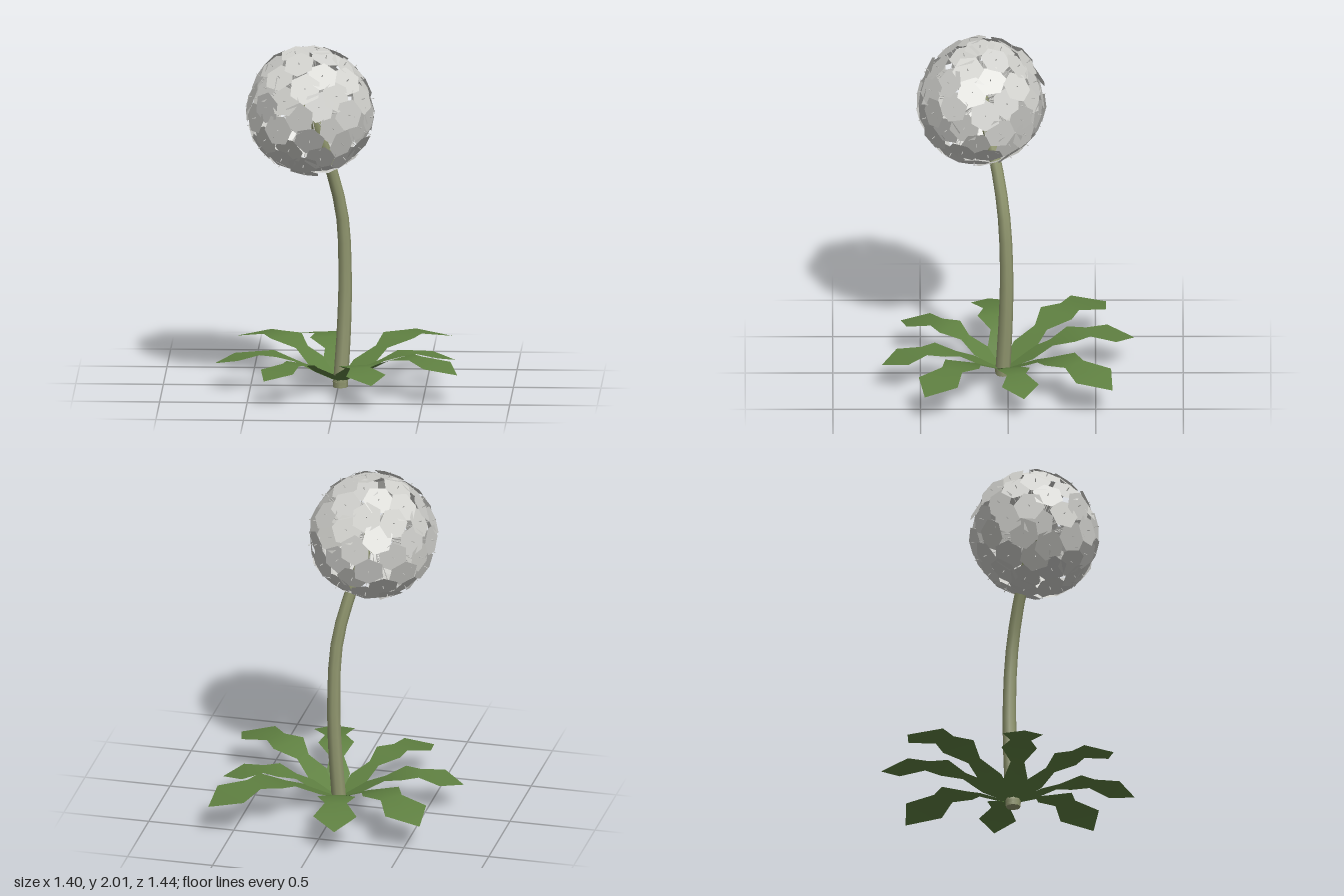
import * as THREE from 'three';

const leafGreen = new THREE.MeshStandardMaterial({ name: 'leafGreen', color: 0x5f8041, side: THREE.DoubleSide });
const stemGreen = new THREE.MeshStandardMaterial({ name: 'stemGreen', color: 0x929870 });
const fluffWhite = new THREE.MeshStandardMaterial({ name: 'fluffWhite', color: 0xcfcfcb, side: THREE.DoubleSide });

const ROOT = new THREE.Vector3(0.013, 0.028, 0.03);
const HEAD = new THREE.Vector3(-0.153, 1.635, 0.155);

function seeded(seed) {
  return () => (seed = (seed * 16807) % 2147483647) / 2147483647;
}

// Unit-length toothed leaf along +z, from cross-sections of [distance, half width, height]
function leafGeometry() {
  const sections = [
    [0, 0.02, 0], [0.21, 0.097, 0.107], [0.37, 0.055, 0.185], [0.52, 0.142, 0.24],
    [0.65, 0.083, 0.245], [0.83, 0.162, 0.217], [1, 0.002, 0.168],
  ];
  const pos = [], index = [];
  sections.forEach(([z, w, y], i) => {
    pos.push(-w, y, z, 0, y, z, w, y, z);
    if (i === 0) return;
    for (let k = 0; k < 2; k++) {
      const a = (i - 1) * 3 + k, c = i * 3 + k;
      index.push(a, c, a + 1, a + 1, c, c + 1);
    }
  });
  const g = new THREE.BufferGeometry();
  g.setAttribute('position', new THREE.Float32BufferAttribute(pos, 3));
  g.setIndex(index);
  g.computeVertexNormals();
  return g;
}

// Bent stem that thins towards the head
function stemGeometry() {
  const curve = new THREE.CatmullRomCurve3([
    new THREE.Vector3(0.013, 0.01, 0.03), new THREE.Vector3(0.033, 0.35, 0.013),
    new THREE.Vector3(0.039, 0.65, 0.008), new THREE.Vector3(0.023, 1.0, 0.024),
    new THREE.Vector3(-0.045, 1.3, 0.07), HEAD,
  ]);
  const rings = 12, sides = 8;
  const g = new THREE.TubeGeometry(curve, rings, 1, sides);
  const p = g.attributes.position, v = new THREE.Vector3();
  for (let i = 0; i < p.count; i++) {
    const t = Math.floor(i / (sides + 1)) / rings;
    const c = curve.getPointAt(t);
    v.fromBufferAttribute(p, i).sub(c).multiplyScalar(0.043 - 0.012 * t).add(c);
    p.setXYZ(i, v.x, v.y, v.z);
  }
  return g;
}

export function createModel() {
  const model = new THREE.Group();
  model.name = 'seedHeadFlower';
  const add = (parent, name, geometry, material) => {
    const m = new THREE.Mesh(geometry, material);
    m.name = name;
    parent.add(m);
    return m;
  };

  // Stem and root collar
  add(model, 'stem', stemGeometry(), stemGreen);
  add(model, 'rootCollar', new THREE.CylinderGeometry(0.044, 0.042, 0.034, 8), stemGreen)
    .position.set(ROOT.x, 0.017, ROOT.z);

  // Leaf rosette, placed by the tip of each leaf
  const leafGeo = leafGeometry();
  const tips = [
    [0.625, -0.595], [-0.145, -0.72], [-0.607, -0.56], [-0.7, 0.11],
    [-0.4, 0.61], [0.218, 0.72], [0.697, 0.475], [0.664, -0.09],
  ];
  tips.forEach(([x, z]) => {
    const dx = x - ROOT.x, dz = z - ROOT.z;
    const leaf = add(model, 'leaf', leafGeo, leafGreen);
    leaf.position.copy(ROOT);
    leaf.rotation.y = Math.atan2(dx, dz);
    leaf.scale.setScalar(Math.hypot(dx, dz));
  });

  // Seed head: core with hexagonal tufts on thin stalks
  const head = new THREE.Group();
  head.name = 'seedHead';
  head.position.copy(HEAD);
  model.add(head);
  add(head, 'core', new THREE.IcosahedronGeometry(0.05, 1), stemGreen);

  const tuftGeo = new THREE.CircleGeometry(0.092, 6);
  const stalkGeo = new THREE.CylinderGeometry(0.0026, 0.0026, 0.335, 4);
  stalkGeo.rotateX(Math.PI / 2).translate(0, 0, 0.206);

  const rand = seeded(71);
  const jitter = (s) => (rand() - 0.5) * s;
  const count = 84, golden = Math.PI * (3 - Math.sqrt(5));
  const forward = new THREE.Vector3(0, 0, 1);
  for (let i = 0; i < count; i++) {
    const y = 1 - (2 * (i + 0.5)) / count;
    const r = Math.sqrt(1 - y * y), a = i * golden;
    const dir = new THREE.Vector3(
      r * Math.cos(a) + jitter(0.1), y + jitter(0.1), r * Math.sin(a) + jitter(0.1)).normalize();
    const seed = new THREE.Group();
    seed.name = 'seed';
    seed.quaternion.setFromUnitVectors(forward, dir);
    seed.rotateZ(rand() * Math.PI);
    const tuft = add(seed, 'tuft', tuftGeo, fluffWhite);
    tuft.position.z = 0.351 + jitter(0.012);
    tuft.rotation.set(jitter(0.3), jitter(0.3), 0);
    add(seed, 'stalk', stalkGeo, fluffWhite);
    head.add(seed);
  }
  return model;
}
